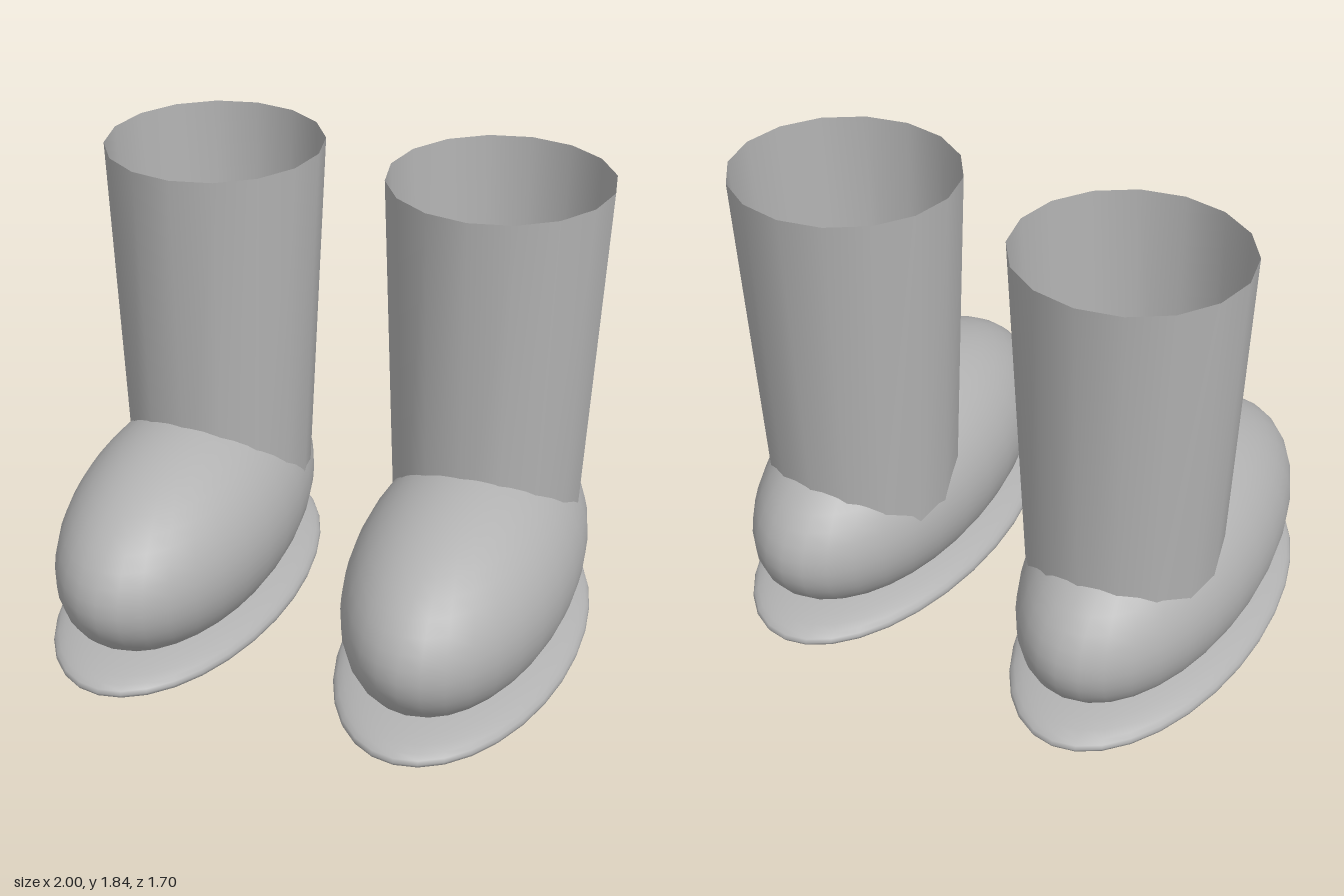
import * as THREE from 'three';

const grey = new THREE.MeshStandardMaterial({ color: 0xb2b2b2, side: THREE.DoubleSide });
grey.name = 'grey';

// Smooth ellipsoid given by its centre height and half sizes
function ellipsoid(name, y, rx, ry, rz) {
  const geometry = new THREE.SphereGeometry(1, 32, 24);
  geometry.scale(rx, ry, rz);
  const mesh = new THREE.Mesh(geometry, grey);
  mesh.name = name;
  mesh.position.y = y;
  return mesh;
}

// Open tube, narrower at the ankle, leaning slightly back with a sloped rim
function bootShaft() {
  const bottom = 0.4, top = 1.832, height = top - bottom;
  const geometry = new THREE.CylinderGeometry(0.41, 0.349, height, 16, 1, true);
  geometry.translate(0, height / 2 + bottom, 0);
  const p = geometry.attributes.position;
  for (let i = 0; i < p.count; i++) {
    const y = p.getY(i), z = p.getZ(i);
    p.setY(i, y - 0.03 * z);
    p.setZ(i, z - 0.288 + 0.0105 * (top - y));
  }
  geometry.computeVertexNormals();
  // Match the normals where the tube closes on itself
  const n = geometry.attributes.normal;
  for (const row of [0, 17]) {
    const a = new THREE.Vector3().fromBufferAttribute(n, row);
    a.add(new THREE.Vector3().fromBufferAttribute(n, row + 16)).normalize();
    n.setXYZ(row, a.x, a.y, a.z);
    n.setXYZ(row + 16, a.x, a.y, a.z);
  }
  const mesh = new THREE.Mesh(geometry, grey);
  mesh.name = 'shaft';
  return mesh;
}

export function createModel() {
  const model = new THREE.Group();
  model.name = 'boots';
  for (const side of [1, -1]) {
    const boot = new THREE.Group();
    boot.name = side > 0 ? 'leftBoot' : 'rightBoot';
    boot.add(
      ellipsoid('sole', 0.103, 0.434, 0.103, 0.85),
      ellipsoid('foot', 0.415, 0.407, 0.405, 0.828),
      bootShaft()
    );
    boot.position.x = side * 0.566;
    // Shaft stands slightly nearer the middle than the foot
    boot.getObjectByName('shaft').position.x = -side * 0.018;
    model.add(boot);
  }
  return model;
}
